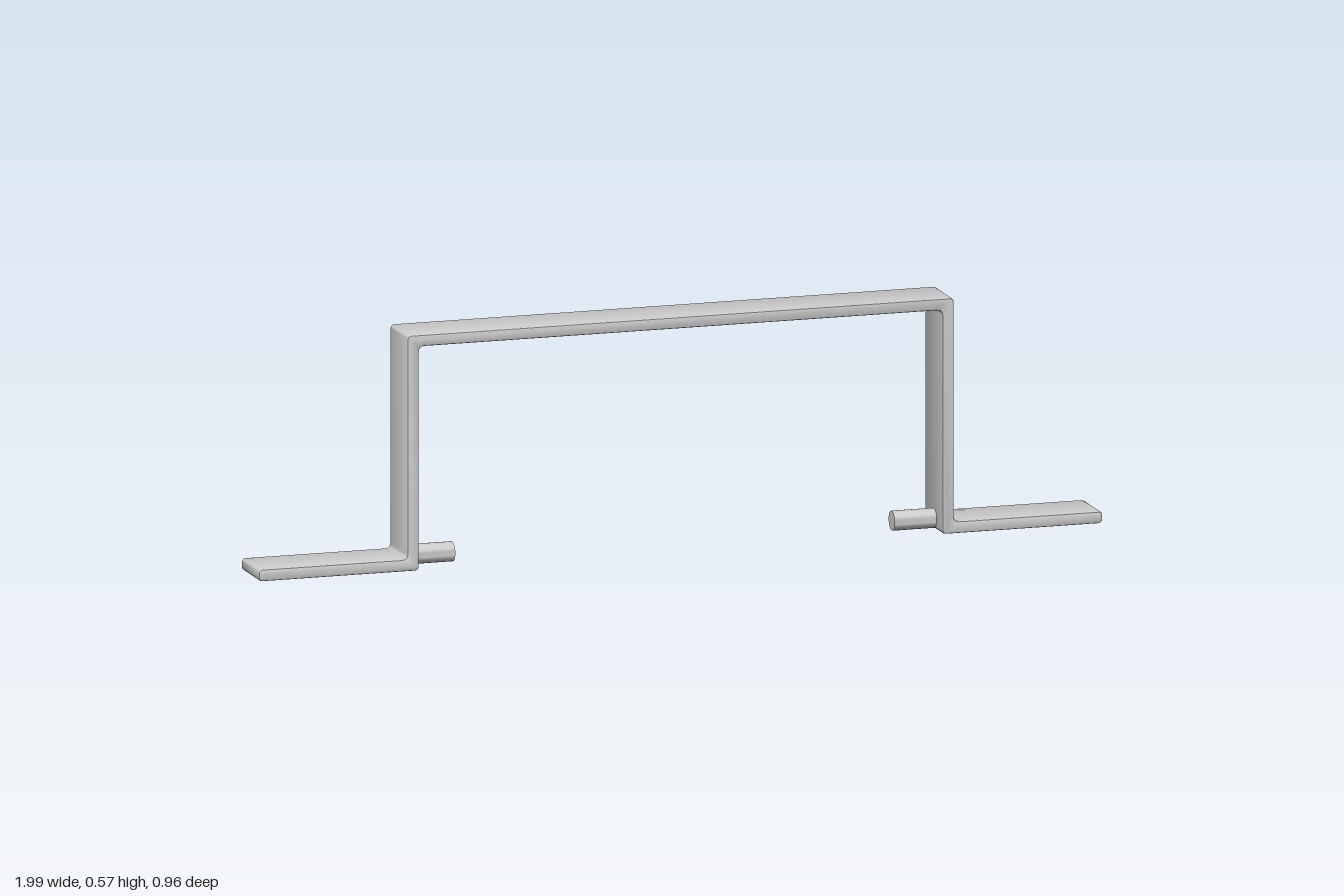
import * as THREE from 'three';
import { toCreasedNormals } from 'three/addons/utils/BufferGeometryUtils.js';

const material = new THREE.MeshStandardMaterial({ color: 0xcccccc });
const WIDTH = 0.139, BEVEL = 0.005;

// Closed outline with each corner [x, y, r] rounded by r
function roundedShape(corners) {
  const shape = new THREE.Shape();
  const pts = corners.map(([x, y]) => new THREE.Vector2(x, y));
  const n = pts.length;
  const toward = (a, b, r) => b.clone().sub(a).setLength(r).add(a);
  pts.forEach((p, i) => {
    const r = corners[i][2];
    const a = toward(p, pts[(i + n - 1) % n], r);
    const b = toward(p, pts[(i + 1) % n], r);
    if (i === 0) shape.moveTo(a.x, a.y);
    else shape.lineTo(a.x, a.y);
    shape.quadraticCurveTo(p.x, p.y, b.x, b.y);
  });
  shape.closePath();
  return shape;
}

export function createModel() {
  const bracket = new THREE.Group();
  bracket.name = 'bracket';

  // Bent strap: right half of the outline, then its mirror
  const half = [
    [0.655, 0.547, 0.014],
    [0.655, 0, 0.01],
    [1.056, 0, 0.01],
    [1.056, 0.029, 0.01],
    [0.684, 0.029, 0.014],
    [0.684, 0.575, 0.01],
  ];
  const mirrored = half.map(([x, y, r]) => [-x, y, r]).reverse();
  const strapGeometry = new THREE.ExtrudeGeometry(roundedShape([...half, ...mirrored]), {
    depth: WIDTH - 2 * BEVEL,
    bevelEnabled: true,
    bevelThickness: BEVEL,
    bevelSize: BEVEL,
    bevelOffset: -BEVEL,
    bevelSegments: 2,
    curveSegments: 3,
  });
  strapGeometry.translate(0, 0, -WIDTH / 2 + BEVEL);
  const strap = new THREE.Mesh(toCreasedNormals(strapGeometry, 0.6), material);
  strap.name = 'strap';
  bracket.add(strap);

  // Pins pointing inward from the foot of each leg
  const pinGeometry = toCreasedNormals(
    new THREE.CylinderGeometry(0.024, 0.024, 0.12, 24).rotateZ(Math.PI / 2), 0.6);
  for (const side of [1, -1]) {
    const pin = new THREE.Mesh(pinGeometry, material);
    pin.name = side > 0 ? 'leftPin' : 'rightPin';
    pin.position.set(side * 0.61, 0.026, 0);
    bracket.add(pin);
  }

  // The whole bracket stands diagonally
  bracket.rotation.y = THREE.MathUtils.degToRad(23.2);
  const model = new THREE.Group();
  model.name = 'diagonalBracket';
  model.add(bracket);
  return model;
}
